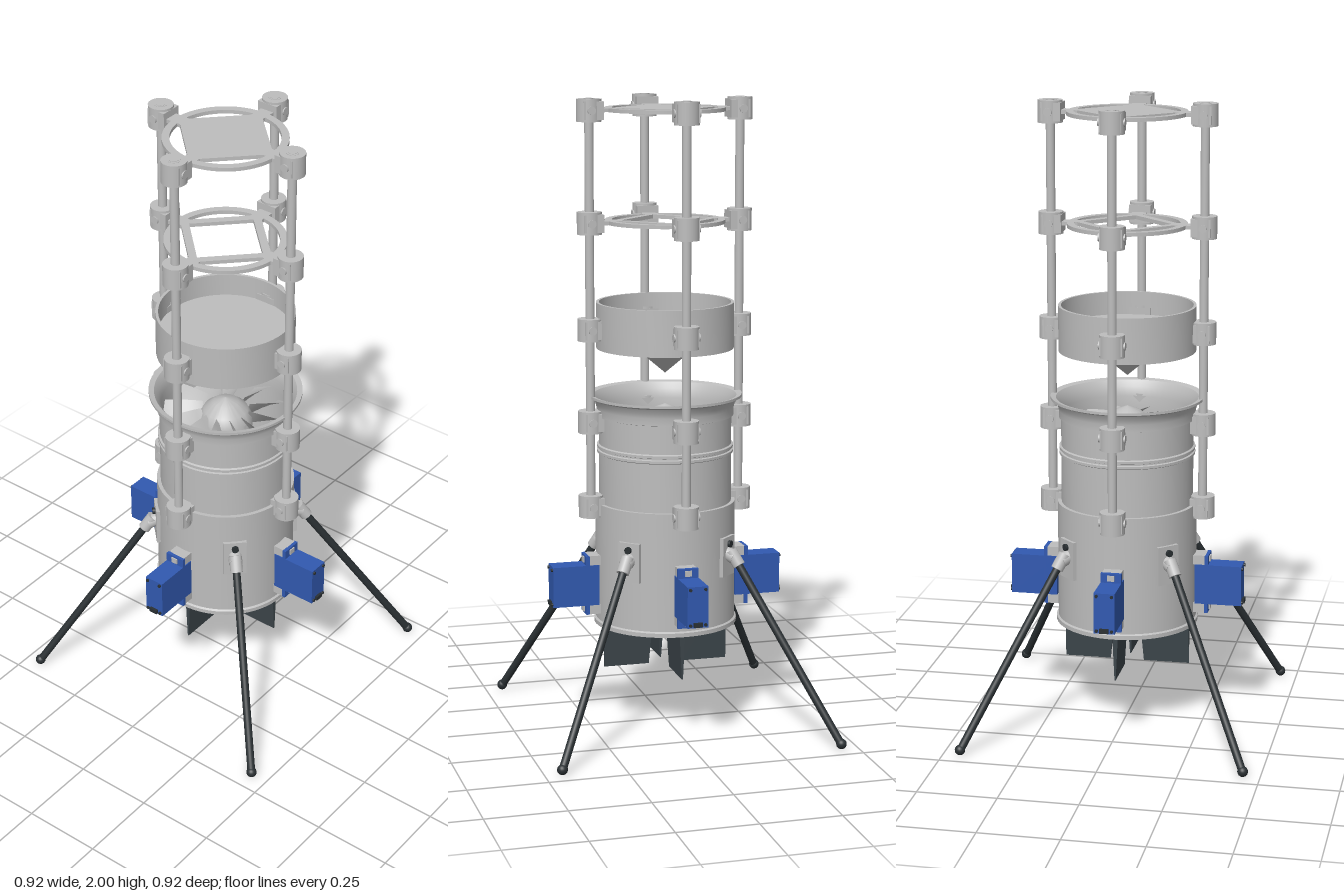
import * as THREE from 'three';
import { toCreasedNormals } from 'three/addons/utils/BufferGeometryUtils.js';

const mat = (name, color, side = THREE.FrontSide) => new THREE.MeshStandardMaterial({ name, color, side });

export function createModel() {
  const model = new THREE.Group();
  model.name = 'ductedFanTestRig';
  const grey = mat('lightGrey', 0xbdbdbd, THREE.DoubleSide);
  const blue = mat('servoBlue', 0x3159b0);
  const slate = mat('vaneSlate', 0x3c454a);
  const black = mat('legBlack', 0x2a3033);

  const add = (parent, name, geo, material, x = 0, y = 0, z = 0) => {
    const m = new THREE.Mesh(geo, material);
    m.name = name;
    m.position.set(x, y, z);
    parent.add(m);
    return m;
  };
  const box = (w, h, d) => new THREE.BoxGeometry(w, h, d);
  const cyl = (r, h, n = 24, r2 = r) => new THREE.CylinderGeometry(r, r2, h, n);
  const lathe = (pts) => toCreasedNormals(
    new THREE.LatheGeometry(pts.map((p) => new THREE.Vector2(...p)), 64), 0.5);
  // Repeats a part around the vertical axis; local +x points outwards
  const around = (n, offset, name, build) => {
    for (let i = 0; i < n; i++) {
      const g = new THREE.Group();
      g.name = name;
      g.rotation.y = offset + (i * Math.PI * 2) / n;
      build(g);
      model.add(g);
    }
  };
  // Cylinder between two points of the local xy plane
  const strut = (g, name, a, b, r, material) => {
    const dx = b[0] - a[0], dy = b[1] - a[1];
    const m = add(g, name, cyl(r, Math.hypot(dx, dy), 20), material, (a[0] + b[0]) / 2, (a[1] + b[1]) / 2);
    m.rotation.z = Math.atan2(dy, dx) - Math.PI / 2;
  };

  // Lower housing, open below
  add(model, 'lowerHousing', lathe([
    [0.208, 0.335], [0.228, 0.335], [0.228, 0.348], [0.222, 0.352], [0.222, 0.73],
    [0.2, 0.73], [0.2, 0.6], [0.208, 0.335],
  ]), grey);

  // Fan duct with seam bands and flared intake
  add(model, 'fanDuct', lathe([
    [0.2, 0.73], [0.21, 0.73], [0.21, 0.885], [0.216, 0.888], [0.216, 0.896], [0.21, 0.898],
    [0.21, 0.902], [0.216, 0.904], [0.216, 0.912], [0.21, 0.915], [0.21, 1.005], [0.217, 1.007],
    [0.217, 1.03], [0.221, 1.045], [0.23, 1.06], [0.243, 1.066], [0.243, 1.074], [0.226, 1.07],
    [0.212, 1.05], [0.205, 1.02], [0.203, 0.98], [0.2, 0.73],
  ]), grey);

  // Motor pod and spinner
  add(model, 'motorPod', lathe([
    [0, 0.5], [0.04, 0.55], [0.075, 0.65], [0.085, 0.75], [0.085, 0.97], [0.07, 1.0], [0.04, 1.025], [0, 1.04],
  ]), grey);

  // Twisted fan blades
  around(12, 0, 'fanBlade', (g) => {
    const geo = new THREE.PlaneGeometry(0.125, 0.08, 6, 1);
    const p = geo.attributes.position;
    for (let i = 0; i < p.count; i++) {
      const t = p.getX(i) / 0.125 + 0.5;
      const a = 0.5 + 0.6 * t, w = p.getY(i);
      p.setXYZ(i, 0.075 + t * 0.125, 0.97 + w * Math.cos(a), w * Math.sin(a));
    }
    geo.computeVertexNormals();
    add(g, 'blade', geo, grey);
  });
  // Stators holding the pod
  around(6, 0.26, 'stator', (g) => add(g, 'statorBlade', box(0.125, 0.1, 0.006), grey, 0.14, 0.78, 0));

  // Drum with recessed floor and cone underneath
  add(model, 'drumWall', lathe([
    [0.208, 1.22], [0.217, 1.22], [0.217, 1.365], [0.208, 1.365], [0.208, 1.22],
  ]), grey);
  add(model, 'drumFloor', cyl(0.21, 0.008, 64), grey, 0, 1.287, 0);
  add(model, 'drumCone', new THREE.ConeGeometry(0.172, 0.146, 64), grey, 0, 1.211, 0).rotation.x = Math.PI;

  // Slotted ring plates
  const ringPlate = (name, y, openCentre) => {
    const s = new THREE.Shape().absarc(0, 0, 0.188, 0, Math.PI * 2);
    for (let q = 0; q < 4; q++) {
      const pts = [], rot = (x, v) => new THREE.Vector2(x, v).rotateAround(new THREE.Vector2(), q * Math.PI / 2);
      pts.push(rot(0.153, 0.022));
      for (let i = 0; i <= 16; i++) {
        const a = 0.134 + (i / 16) * (Math.PI / 2 - 0.268);
        pts.push(rot(0.165 * Math.cos(a), 0.165 * Math.sin(a)));
      }
      pts.push(rot(0.022, 0.153));
      s.holes.push(new THREE.Path(pts));
    }
    if (openCentre) {
      s.holes.push(new THREE.Path([[0.14, 0], [0, 0.14], [-0.14, 0], [0, -0.14]].map((p) => new THREE.Vector2(...p))));
    }
    const geo = new THREE.ExtrudeGeometry(s, { depth: 0.012, bevelEnabled: false, curveSegments: 64 });
    geo.rotateX(-Math.PI / 2);
    add(model, name, geo, grey, 0, y - 0.006, 0);
  };
  ringPlate('topPlate', 1.965, false);
  ringPlate('middlePlate', 1.618, true);

  // Upright rods with clamps at every level
  const R = 0.243;
  around(4, 0, 'upright', (g) => {
    add(g, 'rod', cyl(0.014, 1.3), grey, R, 1.345, 0);
    for (const y of [1.965, 1.618, 1.285, 0.993, 0.723]) {
      add(g, 'clampCollar', cyl(0.039, 0.07, 32), grey, R, y, 0);
      add(g, 'clampBlock', box(0.062, 0.056, 0.07), grey, 0.235, y, 0);
      add(g, 'clampBolt', cyl(0.013, 0.084, 16), grey, R, y, 0).rotation.x = Math.PI / 2;
    }
    for (const y of [1.965, 1.618]) add(g, 'plateTab', box(0.045, 0.012, 0.046), grey, 0.195, y, 0);
    add(g, 'rodTopRing', cyl(0.02, 0.003), grey, R, 1.9995, 0);
    add(g, 'rodBore', cyl(0.014, 0.004), grey, R, 2, 0);
  });

  // Servos and steering vanes
  around(4, 0, 'servoUnit', (g) => {
    add(g, 'servoBody', box(0.15, 0.13, 0.066), blue, 0.3, 0.47, 0);
    add(g, 'servoFlange', box(0.012, 0.19, 0.066), blue, 0.262, 0.47, 0);
    for (const s of [-1, 1]) {
      add(g, 'servoBracket', box(0.046, 0.03, 0.06), grey, 0.235, 0.47 + s * 0.08, 0);
      add(g, 'flangeScrew', box(0.004, 0.018, 0.022), grey, 0.27, 0.47 + s * 0.08, 0);
      for (const t of [-1, 1]) add(g, 'caseScrew', cyl(0.005, 0.006, 12), black, 0.377, 0.47 + s * 0.056, t * 0.024).rotation.z = Math.PI / 2;
    }
    add(g, 'cableOutlet', box(0.008, 0.014, 0.028), black, 0.379, 0.415, 0);

    const vane = box(1, 1, 1);
    const p = vane.attributes.position;
    for (let i = 0; i < p.count; i++) {
      const top = p.getY(i) > 0, out = p.getX(i) > 0;
      p.setXYZ(i, out ? 0.203 : top ? 0.035 : 0.055, top ? 0.42 : 0.19, p.getZ(i) * (top ? 0.026 : 0.004));
    }
    vane.computeVertexNormals();
    add(g, 'steeringVane', vane, slate);
    strut(g, 'vaneShaft', [0.19, 0.41], [0.235, 0.41], 0.01, grey);
  });

  // Splayed legs with mounting plates
  around(4, Math.PI / 4, 'legUnit', (g) => {
    add(g, 'legMountPlate', box(0.022, 0.125, 0.075), grey, 0.22, 0.57, 0);
    add(g, 'mountScrew', cyl(0.011, 0.012, 16), black, 0.234, 0.61, 0).rotation.z = Math.PI / 2;
    strut(g, 'mountSocket', [0.222, 0.58], [0.252, 0.567], 0.022, grey);
    strut(g, 'legSocket', [0.238, 0.588], [0.268, 0.544], 0.02, grey);
    strut(g, 'leg', [0.25, 0.57], [0.63, 0.016], 0.0125, black);
    add(g, 'foot', new THREE.SphereGeometry(0.0165, 20, 14), black, 0.631, 0.0165, 0);
  });

  return model;
}
